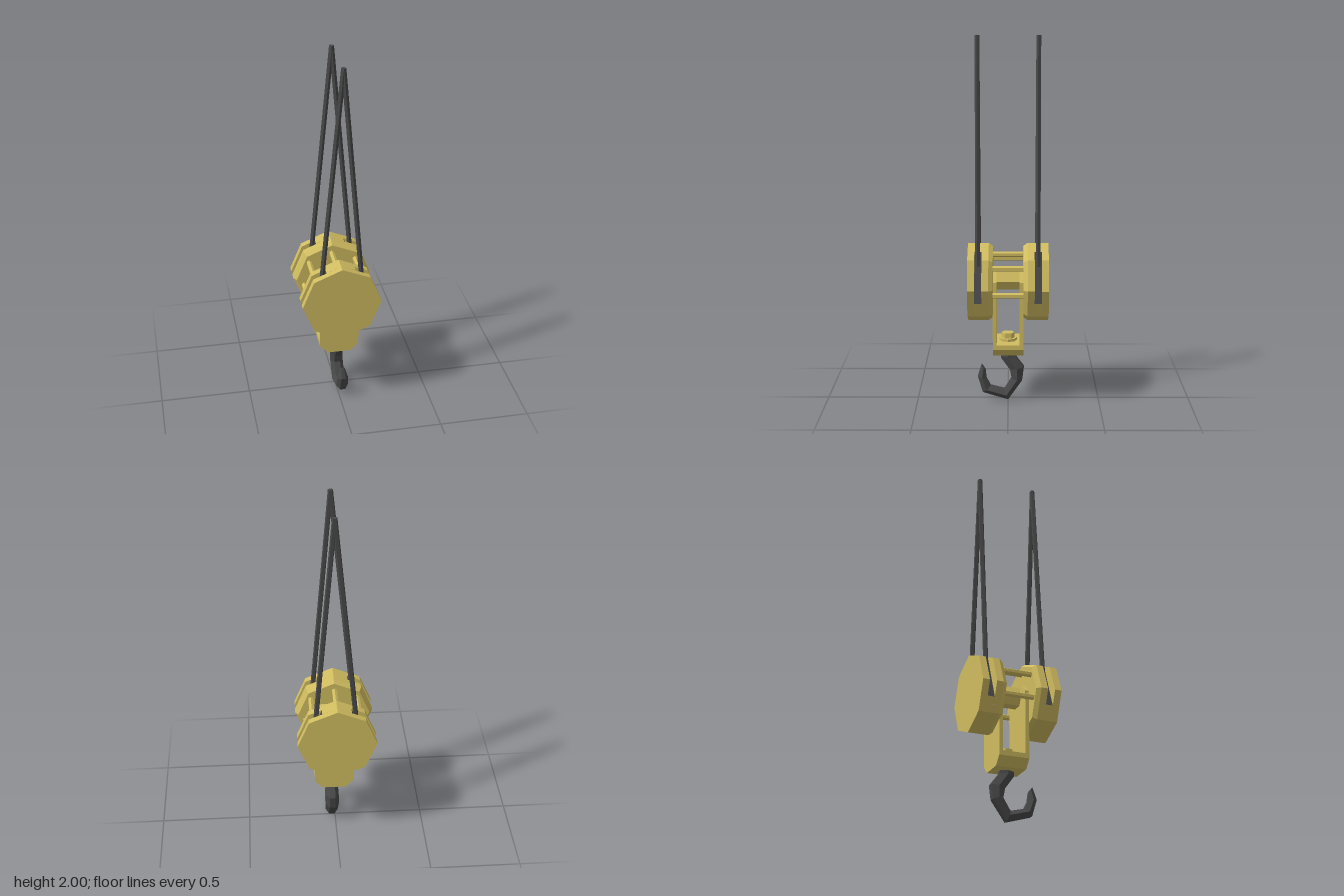
import * as THREE from 'three';

const yellow = new THREE.MeshStandardMaterial({ color: 0xd0bc60, flatShading: true });
const dark = new THREE.MeshStandardMaterial({ color: 0x484848, flatShading: true });
const CY = 0.667, R = 0.217; // sheave housing centre height and radius

// Flat outline in XY, extruded between two depths
function slab(points, z0, z1) {
  const shape = new THREE.Shape(points.map(([x, y]) => new THREE.Vector2(x, y)));
  const g = new THREE.ExtrudeGeometry(shape, { depth: z1 - z0, bevelEnabled: false });
  return g.translate(0, 0, z0);
}

// Prism along z; rFront is the radius at its +z end
function prism(rFront, rBack, z0, z1, sides, x, y, start = 0) {
  const g = new THREE.CylinderGeometry(rFront, rBack, z1 - z0, sides, 1, false, start);
  return g.rotateX(Math.PI / 2).translate(x, y, (z0 + z1) / 2);
}

// Straight five-sided rope between two points
function rope(a, b, r) {
  const dir = b.clone().sub(a);
  const g = new THREE.CylinderGeometry(r, r, dir.length(), 5);
  g.applyQuaternion(new THREE.Quaternion().setFromUnitVectors(new THREE.Vector3(0, 1, 0), dir.normalize()));
  const m = a.clone().add(b).multiplyScalar(0.5);
  return g.translate(m.x, m.y, m.z);
}

// Hook lofted through six-sided sections: [outer z, y, inner z, y, half width]
function hookGeometry() {
  const rows = [
    [-0.035, 0.28, 0.04, 0.28, 0.03],
    [-0.038, 0.255, 0.04, 0.245, 0.033],
    [-0.087, 0.19, -0.01, 0.175, 0.037],
    [-0.077, 0.113, -0.02, 0.125, 0.037],
    [0.0, 0.003, 0.02, 0.06, 0.036],
    [0.14, 0.045, 0.098, 0.08, 0.034],
    [0.167, 0.135, 0.12, 0.125, 0.03],
    [0.146, 0.202, 0.124, 0.172, 0.014],
  ];
  const ring = [[0, -0.45], [0, 0.45], [0.5, 1], [1, 0.45], [1, -0.45], [0.5, -1]];
  const pos = [], idx = [], n = ring.length;
  for (const [oz, oy, iz, iy, w] of rows)
    for (const [t, s] of ring) pos.push(0.018 + s * w, oy + (iy - oy) * t, oz + (iz - oz) * t);
  for (let i = 0; i < rows.length - 1; i++)
    for (let j = 0; j < n; j++) {
      const a = i * n + j, b = i * n + (j + 1) % n;
      idx.push(a, b, a + n, b, b + n, a + n);
    }
  const last = (rows.length - 1) * n;
  for (let j = 1; j < n - 1; j++) idx.push(0, j + 1, j, last, last + j, last + j + 1);
  const g = new THREE.BufferGeometry();
  g.setAttribute('position', new THREE.Float32BufferAttribute(pos, 3));
  g.setIndex(idx);
  g.computeVertexNormals();
  return g;
}

export function createModel() {
  const model = new THREE.Group();
  const add = (name, geometry, material = yellow, parent = model) => {
    const mesh = new THREE.Mesh(geometry, material);
    mesh.name = name;
    parent.add(mesh);
  };

  const k = R * Math.SQRT1_2;
  for (const s of [1, -1]) {
    const block = new THREE.Group();
    block.name = s > 0 ? 'frontSheaveBlock' : 'backSheaveBlock';
    model.add(block);
    const span = (a, b) => (s > 0 ? [a, b] : [-b, -a]);

    // Octagonal cheeks, the inner one chamfered towards the middle
    add('outerCheek', prism(R, R, ...span(0.181, 0.218), 8, 0, CY), yellow, block);
    add('innerCheek', prism(R, R, ...span(0.105, 0.142), 8, 0, CY), yellow, block);
    const [rf, rb] = s > 0 ? [R, 0.2] : [0.2, R];
    add('cheekChamfer', prism(rf, rb, ...span(0.082, 0.105), 8, 0, CY), yellow, block);

    // Closed housing above and below the rope slots
    const gap = span(0.142, 0.181);
    add('housingTop', slab([[-0.08, 0.852], [0.08, 0.852], [0, CY + R]], ...gap), yellow, block);
    add('housingBottom', slab([[-0.185, 0.59], [-k, CY - k], [0, CY - R], [k, CY - k], [0.185, 0.59]], ...gap), yellow, block);
    add('sheave', slab([[-0.185, 0.59], [0.185, 0.59], [0.08, 0.852], [-0.08, 0.852]], ...gap), dark, block);

    // Pair of ropes meeting at the top
    const top = new THREE.Vector3(0.012, 2, s * 0.162);
    for (const x of [-0.106, 0.116])
      add('rope', rope(new THREE.Vector3(x, 0.78, s * 0.162), top, 0.014), dark, block);

    // Side plate of the hook carrier
    add('carrierPlate', slab([
      [-0.1, 0.315], [-0.055, 0.27], [0.073, 0.27], [0.118, 0.315],
      [0.118, 0.69], [0.073, 0.733], [-0.055, 0.733], [-0.1, 0.69],
    ], ...span(0.062, 0.083)));
  }

  // Tie rods between the two blocks
  for (const [x, y] of [[-0.003, 0.82], [-0.13, 0.77], [0.13, 0.77], [-0.16, 0.63], [0.16, 0.63]])
    add('tieRod', prism(0.0155, 0.0155, -0.09, 0.09, 6, x, y));

  // Carrier floor, cross pin and hook nut
  add('carrierFloor', slab([
    [-0.1, 0.341], [-0.1, 0.315], [-0.055, 0.27], [0.073, 0.27], [0.118, 0.315], [0.118, 0.341],
  ], -0.062, 0.062));
  add('crossPin', prism(0.058, 0.058, -0.062, 0.062, 6, 0.009, 0.682, Math.PI / 6));
  add('washer', new THREE.CylinderGeometry(0.048, 0.048, 0.014, 8).translate(0.01, 0.348, 0));
  add('nut', new THREE.CylinderGeometry(0.036, 0.036, 0.03, 6).translate(0.01, 0.369, 0));

  add('hook', hookGeometry(), dark);
  return model;
}
